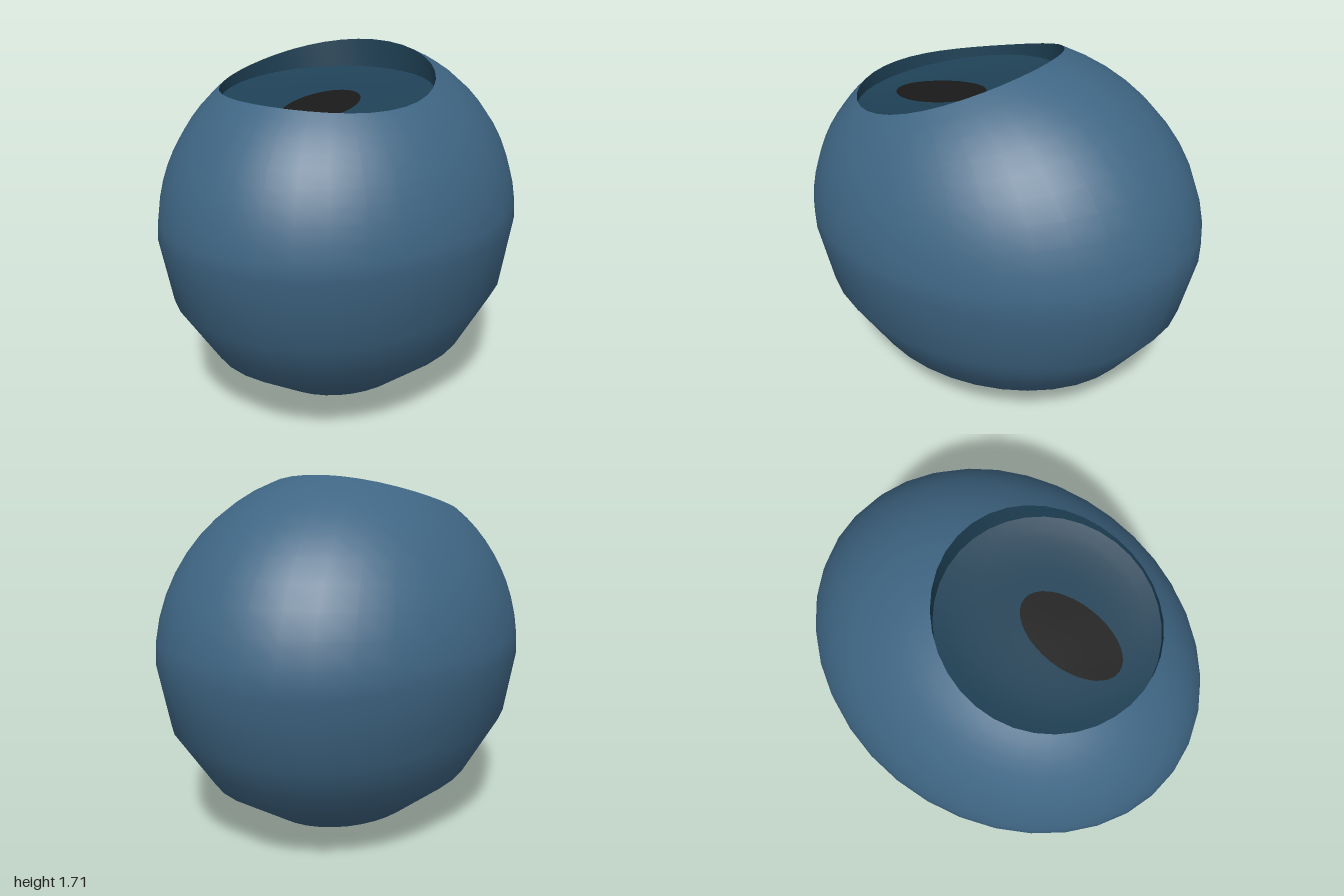
import * as THREE from 'three';

const SIDES = 36;
const RX = 0.823, RY = 0.87, RZ = 1;               // ellipsoid half sizes
const HOLE = { x: 0.032, z: 0.21, rx: 0.487, rz: 0.48 };
const PUPIL = { x: 0.057, z: 0.31, rx: 0.148, rz: 0.25 };

// Smooth surface through closed rings; point(row, angle) gives [x, y, z]
function loft(name, color, rows, point) {
  const pos = [], index = [];
  for (let i = 0; i < rows; i++) {
    for (let j = 0; j < SIDES; j++) {
      pos.push(...point(i, (j / SIDES) * Math.PI * 2));
      if (i === rows - 1) continue;
      const a = i * SIDES + j, b = i * SIDES + (j + 1) % SIDES;
      index.push(a, b, a + SIDES, b, b + SIDES, a + SIDES);
    }
  }
  const geo = new THREE.BufferGeometry();
  geo.setAttribute('position', new THREE.Float32BufferAttribute(pos, 3));
  geo.setIndex(index);
  geo.computeVertexNormals();
  const mesh = new THREE.Mesh(geo, new THREE.MeshStandardMaterial({ color, side: THREE.DoubleSide }));
  mesh.name = name;
  return mesh;
}

// Point on an ellipse seen from above
const onEllipse = (e, a, r = 1) => [e.x + e.rx * r * Math.cos(a), e.z + e.rz * r * Math.sin(a)];

// Height of the upper half of the ellipsoid
const topY = (x, z) => RY * (1 + Math.sqrt(Math.max(0, 1 - (x / RX) ** 2 - (z / RZ) ** 2)));

// Height of the sloping, slightly dished floor inside the opening
function floorY(x, z) {
  const r2 = ((x - HOLE.x) / HOLE.rx) ** 2 + ((z - HOLE.z) / HOLE.rz) ** 2;
  return 1.465 - 0.15 * (z - HOLE.z) - 0.03 * (x - HOLE.x) + 0.035 * r2 * r2;
}

export function createModel() {
  const group = new THREE.Group();
  group.name = 'eyeball';

  // Shell: blends from the round opening to the equator, then coarse rings to the bottom
  const upper = 10, lower = [20, 42, 64, 90];
  group.add(loft('shell', 0x3f6684, upper + 1 + lower.length, (i, a) => {
    if (i > upper) {
      const lat = THREE.MathUtils.degToRad(lower[i - upper - 1]);
      const c = Math.cos(lat);
      return [RX * c * Math.cos(a), RY * (1 - Math.sin(lat)), RZ * c * Math.sin(a)];
    }
    const t = Math.sin((i / upper) * Math.PI / 2);
    const [hx, hz] = onEllipse(HOLE, a);
    const x = THREE.MathUtils.lerp(hx, RX * Math.cos(a), t);
    const z = THREE.MathUtils.lerp(hz, RZ * Math.sin(a), t);
    return [x, i === upper ? RY : topY(x, z), z];
  }));

  // Upright wall from the floor up to the rim
  group.add(loft('socketWall', 0x1f4156, 2, (i, a) => {
    const [x, z] = onEllipse(HOLE, a);
    return [x, i ? topY(x, z) : floorY(x, z), z];
  }));

  // Dished iris at the bottom of the opening
  group.add(loft('iris', 0x1f4156, 11, (i, a) => {
    const [x, z] = onEllipse(HOLE, a, i / 10);
    return [x, floorY(x, z), z];
  }));

  // Oval pupil lying just above the iris
  group.add(loft('pupil', 0x1a1a1a, 6, (i, a) => {
    const [x, z] = onEllipse(PUPIL, a, i / 5);
    return [x, floorY(x, z) + 0.008, z];
  }));

  return group;
}
